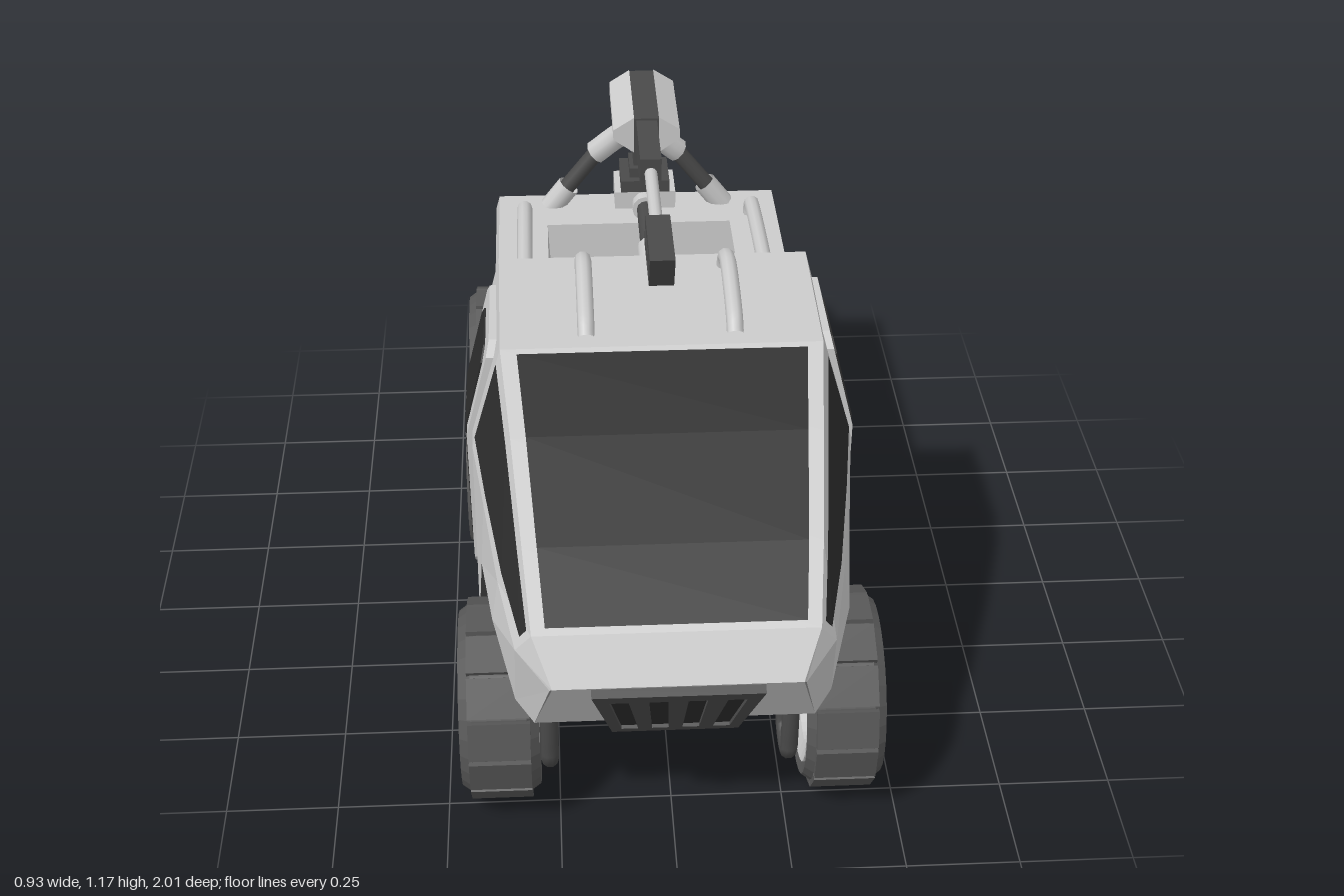
import * as THREE from 'three';

const mat = (color, smooth = false) =>
  new THREE.MeshStandardMaterial({ color, flatShading: !smooth, side: THREE.DoubleSide });
const LIGHT = mat(0xcccccc), TUBE = mat(0xcccccc, true), MID = mat(0x999999);
const DARK = mat(0x4a4a4a), DARK_TUBE = mat(0x4a4a4a, true), TYRE = mat(0x585858), GLASS = mat(0x2c2c2c);
const V = (x, y, z) => new THREE.Vector3(x, y, z);
const flip = p => V(-p.x, p.y, p.z);

function add(parent, name, geo, material, x = 0, y = 0, z = 0) {
  const mesh = new THREE.Mesh(geo, material);
  mesh.name = name;
  mesh.position.set(x, y, z);
  parent.add(mesh);
  return mesh;
}

// Quads between successive rows of points
function loft(rows) {
  const pts = [];
  for (let i = 0; i + 1 < rows.length; i++)
    for (let j = 0; j + 1 < rows[i].length; j++) {
      const a = rows[i][j], b = rows[i][j + 1], c = rows[i + 1][j + 1], d = rows[i + 1][j];
      pts.push(a, d, c, a, c, b);
    }
  const geo = new THREE.BufferGeometry().setFromPoints(pts);
  geo.computeVertexNormals();
  return geo;
}

// Mirror in x, keeping faces outward
function mirrored(geo) {
  const g = geo.index ? geo.toNonIndexed() : geo.clone();
  g.scale(-1, 1, 1);
  for (const attr of Object.values(g.attributes)) {
    const a = attr.array, n = attr.itemSize;
    for (let i = 0; i < attr.count; i += 3)
      for (let k = 0; k < n; k++) {
        const p = (i + 1) * n + k, q = (i + 2) * n + k;
        [a[p], a[q]] = [a[q], a[p]];
      }
  }
  return g;
}
function pair(parent, name, geo, material) {
  add(parent, name + 'Left', geo, material);
  add(parent, name + 'Right', mirrored(geo), material);
}

const box = (w, h, d) => new THREE.BoxGeometry(w, h, d);
const poly = pts => new THREE.Shape(pts.map(p => new THREE.Vector2(p[0], p[1])));
const extrude = (shape, depth) => new THREE.ExtrudeGeometry(shape, { depth, bevelEnabled: false });
const tube = (pts, r, closed = false) =>
  new THREE.TubeGeometry(new THREE.CatmullRomCurve3(pts, closed, 'centripetal'), 32, r, 10, closed);
const rodZ = (r, z0, z1) => new THREE.CylinderGeometry(r, r, z1 - z0, 12).rotateX(Math.PI / 2).translate(0, 0, (z0 + z1) / 2);
const rect = (x, zf, zb, y) => [V(x, y, zf), V(x, y, zb), V(-x, y, zb), V(-x, y, zf), V(x, y, zf)];

function buildCab(root) {
  const cab = new THREE.Group();
  cab.name = 'cab';
  root.add(cab);
  // Stations from nose to back: top edge, belt line, lower edge
  const st = [
    [V(.26, .52, .985), V(.265, .515, .98), V(.30, .345, .88)],
    [V(.30, .61, .92), V(.335, .56, .90), V(.34, .37, .83)],
    [V(.315, .73, .78), V(.37, .61, .73), V(.385, .51, .73)],
    [V(.335, .86, .56), V(.40, .67, .53), V(.41, .51, .53)],
    [V(.355, .955, .35), V(.425, .71, .36), V(.425, .28, .41)],
    [V(.36, .955, -.06), V(.43, .68, -.08), V(.425, .28, -.05)],
    [V(.39, .66, -.20), V(.405, .63, -.19), V(.40, .53, -.15)],
  ];
  add(cab, 'cabShell', loft(st.map(([t, b, l]) => [l, b, t, flip(t), flip(b), flip(l)])), LIGHT);
  add(cab, 'cabUnderside', loft(st.map(s => [flip(s[2]), s[2]])), DARK);
  const [t0, , l0] = st[0];
  add(cab, 'nosePanel', loft([[l0, flip(l0)], [t0, flip(t0)]]), LIGHT);
  add(cab, 'cabBack', loft([2, 1, 0].map(k => [flip(st[6][k]), st[6][k]])), LIGHT);

  // Glass follows the shell, inset from its edges
  const at = (u, t) => {
    const i = Math.min(Math.floor(u), 5), f = u - i;
    const p = k => st[i][k].clone().lerp(st[i + 1][k], f);
    return p(0).lerp(p(1), t);
  };
  const span = [1.08, 2, 3, 3.93];
  add(cab, 'windshield', loft(span.map(u => {
    const p = at(u, 0).multiply(V(.9, 1, 1)).add(V(0, .005, .004));
    return [p, flip(p)];
  })), GLASS);
  pair(cab, 'sideWindow', loft(span.map((u, i) =>
    [[.5, .74, .85, .86][i], .09].map(t => at(u, t).add(V(.005, .001, 0))))), GLASS);
  const back = [.28, .8].map((f, i) => at(5 + f, 0).setX([.27, .29][i]).add(V(0, .003, -.005)));
  add(cab, 'rearWindow', loft(back.map(p => [p, flip(p)])), GLASS);

  // Doors bend along the belt line
  const belt = .69;
  const doorPanel = (z0, z1, y0, y1, c, off, depth) => {
    const lower = poly([[-z0, belt], [-z0, y0 + c], [-z0 + c, y0], [-z1 - c, y0], [-z1, y0 + c], [-z1, belt]]);
    const upper = poly([[-z0, belt], [-z1, belt], [-z1, y1 - c], [-z1 - c, y1], [-z0 + c, y1], [-z0, y1 - c]]);
    const geo = extrude([lower, upper], depth).rotateY(Math.PI / 2);
    const p = geo.attributes.position;
    for (let i = 0; i < p.count; i++) {
      const y = p.getY(i);
      p.setX(i, p.getX(i) + off + .43 - (y > belt ? (y - belt) * .25 : (belt - y) * .012));
    }
    geo.computeVertexNormals();
    return geo;
  };
  pair(cab, 'door', doorPanel(.285, -.02, .32, .925, .03, -.02, .03), LIGHT);
  pair(cab, 'doorWindow', doorPanel(.24, .015, .365, .885, .03, .002, .012), GLASS);

  // Sloping grille with four slots
  const grille = new THREE.Group();
  grille.name = 'grille';
  grille.position.set(0, .43, .933);
  grille.rotation.x = .56;
  cab.add(grille);
  const frame = poly([[-.135, -.12], [.135, -.12], [.18, .11], [-.18, .11]]);
  for (const s of [-1.5, -.5, .5, 1.5]) {
    const x = s * .065, lean = s * .017;
    frame.holes.push(poly([[x - .018, -.1], [x - .02 + lean, .075], [x + .02 + lean, .075], [x + .018, -.1]]));
  }
  add(grille, 'grilleFrame', extrude(frame, .02), DARK);
  add(grille, 'grilleBacking', extrude(poly([[-.13, -.11], [.13, -.11], [.165, .1], [-.165, .1]]), .012), GLASS);

  const rail = [[.95, .30], [.975, .27], [1.01, .12], [1.008, .06], [.985, .01], [.94, -.01]];
  pair(cab, 'roofRail', tube(rail.map(([y, z]) => V(.165, y, z)), .019), TUBE);
}

function buildBed(root) {
  // Hollow cargo bed with a thick rim
  add(root, 'cargoBed', loft([
    rect(0, -.56, -.56, .46), rect(.235, -.34, -.78, .46), rect(.245, -.33, -.79, .655),
    rect(.375, -.17, -.965, .655), rect(.385, -.16, -.985, .61), rect(.37, -.13, -.955, .535), rect(.26, -.13, -.9, .535),
  ]), LIGHT);
  add(root, 'cargoFloor', box(.465, .006, .435), MID, 0, .463, -.56);
  add(root, 'chassis', loft([
    rect(.275, .83, -.91, .535), rect(.26, .74, -.88, .275), rect(0, 0, 0, .275),
  ]), DARK);
  const rail = [[.645, -.255], [.70, -.27], [.715, -.30], [.70, -.79], [.69, -.825], [.645, -.835]];
  pair(root, 'bedRail', tube(rail.map(([y, z]) => V(.305, y, z)), .02), TUBE);
}

function buildWheel(root, side, z) {
  const wheel = new THREE.Group();
  wheel.name = 'wheel';
  wheel.position.set(side * .378, .225, z);
  if (side < 0) wheel.rotation.y = Math.PI;
  root.add(wheel);
  const ring = pts => new THREE.LatheGeometry(pts.concat([pts[0]]).map(p => new THREE.Vector2(...p)), 28).rotateZ(-Math.PI / 2);
  add(wheel, 'tyre', ring([[.16, -.075], [.195, -.087], [.214, -.06], [.214, .06], [.195, .087], [.16, .075]]), TYRE);
  for (let i = 0; i < 14; i++)
    add(wheel, 'treadBlock', box(.135, .02, .088).translate(0, .21, 0).rotateX(i * Math.PI / 7), TYRE);
  add(wheel, 'rim', ring([[.135, -.07], [.168, -.084], [.168, .088], [.132, .075]]), LIGHT);
  // Spoked disc with six windows
  const disc = new THREE.Shape().absarc(0, 0, .137, 0, Math.PI * 2);
  for (let i = 0; i < 6; i++) {
    const a = i * Math.PI / 3 + Math.PI / 6;
    const p = (r, d) => [r * Math.cos(a + d), r * Math.sin(a + d)];
    disc.holes.push(poly([p(.092, -.25), p(.12, -.33), p(.12, .33), p(.092, .25)]));
  }
  add(wheel, 'spokeDisc', extrude(disc, .02).rotateY(Math.PI / 2), DARK, .05);
  const axial = (r0, r1, len, n) => new THREE.CylinderGeometry(r1, r0, len, n).rotateZ(-Math.PI / 2);
  add(wheel, 'discBacking', axial(.135, .135, .01, 24), MID, .045);
  add(wheel, 'hubCap', axial(.05, .042, .02, 6), LIGHT, .075);
  // Axle, hub cone and suspension hoop on the inner side
  add(wheel, 'axle', axial(.025, .025, .2, 10), DARK, -.06);
  add(wheel, 'hubCone', ring([[.001, -.2], [.022, -.195], [.05, -.168], [.05, -.155], [.022, -.13], [.001, -.13]]), DARK);
  const hoop = [[-.15, -.045], [-.1, -.055], [.18, -.055], [.225, -.04], [.243, 0]];
  const right = hoop.slice(0, 4).reverse().map(([y, w]) => [y, -w]);
  add(wheel, 'suspensionHoop', tube([...hoop, ...right].map(([y, w]) => V(-.107, y, w)), .02, true), DARK_TUBE);
}

function buildMount(root) {
  // Spine bar over the bed, forking into two rear legs
  const y = .905;
  add(root, 'spineFront', rodZ(.03, -.19, -.05), TUBE, 0, y);
  add(root, 'spineBar', rodZ(.022, -.79, -.18), DARK_TUBE, 0, y);
  add(root, 'spineCollar', rodZ(.033, -.58, -.39), TUBE, 0, y);
  add(root, 'mountBlock', box(.15, .045, .12), LIGHT, 0, .915, -.48);
  pair(root, 'forkElbow', tube([V(0, y, -.77), V(.008, .9, -.83), V(.04, .875, -.885), V(.11, .81, -.912)], .033), TUBE);
  pair(root, 'forkLeg', tube([V(.1, .82, -.91), V(.21, .68, -.915)], .022), DARK_TUBE);
  pair(root, 'forkFoot', tube([V(.185, .71, -.914), V(.235, .645, -.915)], .031), TUBE);

  // Turret
  const gun = new THREE.Group();
  gun.name = 'turret';
  root.add(gun);
  add(gun, 'turretBase', box(.12, .03, .13), DARK, 0, .955, -.48);
  add(gun, 'turretCollar', box(.075, .03, .09), DARK, 0, .98, -.48);
  add(gun, 'turretPost', box(.055, .12, .055), DARK, 0, 1.04, -.48);
  add(gun, 'receiver', box(.06, .085, .28), DARK, 0, 1.132, -.48);
  add(gun, 'barrelHousing', box(.05, .075, .22), DARK, 0, 1.132, -.24);
  add(gun, 'barrel', rodZ(.015, -.14, .16), TUBE, 0, 1.133);
  pair(gun, 'shield', extrude(poly([[.03, 1.085], [.08, 1.12], [.08, 1.145], [.03, 1.177]]), .28).translate(0, 0, -.62), LIGHT);
  const muzzle = poly([[-.37, 1.177], [-.32, 1.088], [-.125, 1.088], [-.16, 1.177]]);
  for (const z of [.275, .225, .175])
    muzzle.holes.push(poly([[-z - .012, 1.096], [-z + .012, 1.145], [-z + .03, 1.145], [-z + .008, 1.096]]));
  add(gun, 'muzzle', extrude(muzzle, .055).rotateY(Math.PI / 2).translate(-.0275, 0, 0), DARK);
}

export function createModel() {
  const root = new THREE.Group();
  root.name = 'sixWheeledTruck';
  buildCab(root);
  buildBed(root);
  for (const z of [.645, -.293, -.773]) for (const side of [1, -1]) buildWheel(root, side, z);
  buildMount(root);
  return root;
}
